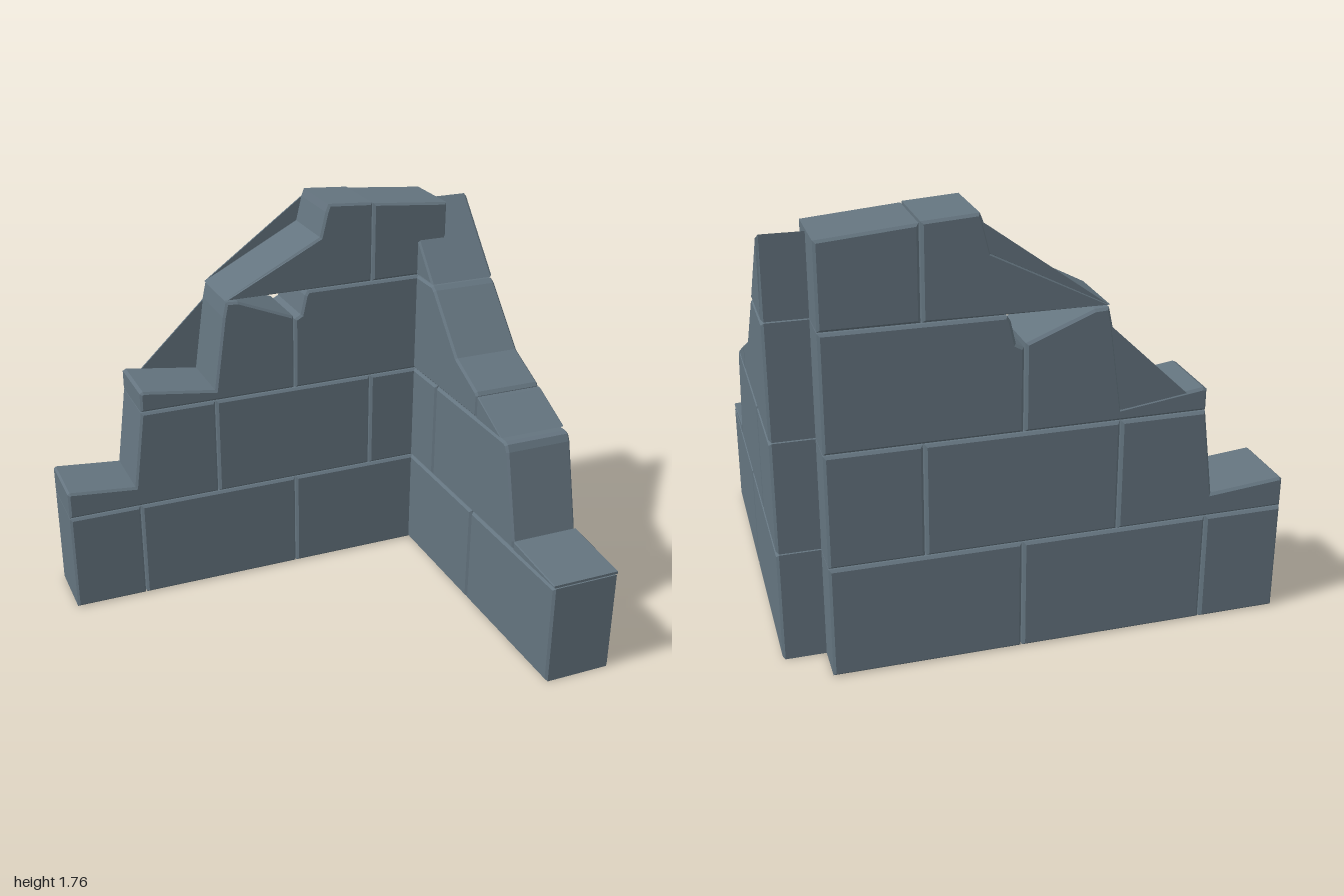
import * as THREE from 'three';

const stoneMaterial = new THREE.MeshStandardMaterial({ color: 0x64747f, side: THREE.DoubleSide });
stoneMaterial.name = 'slate stone';

// Bevelled stone: a profile in the wall's plane, extruded through its thickness
function stone(name, points, thickness, bevel) {
  const shape = new THREE.Shape(points.map(([u, y]) => new THREE.Vector2(u, y)));
  const geometry = new THREE.ExtrudeGeometry(shape, {
    depth: thickness - 2 * bevel,
    bevelEnabled: true, bevelSegments: 1,
    bevelSize: bevel, bevelThickness: bevel, bevelOffset: -bevel,
  });
  geometry.translate(0, 0, bevel);
  const mesh = new THREE.Mesh(geometry, stoneMaterial);
  mesh.name = name;
  return mesh;
}

const block = (u0, u1, y0, y1) => [[u0, y0], [u1, y0], [u1, y1], [u0, y1]];

// Heights of the four courses
const R1 = [0, 0.458], R2 = [0.463, 0.918], R3 = [0.923, 1.381], R4 = [1.386, 1.76];

export function createModel() {
  const model = new THREE.Group();
  model.name = 'ruinedCornerWall';

  // Back wall, profiles in x and y
  const backWall = new THREE.Group();
  backWall.name = 'backWall';
  const backStones = {
    backCourse1End: block(-1, -0.676, ...R1),
    backCourse1Middle: block(-0.67, 0.08, ...R1),
    backCourse1Corner: block(0.086, 0.83, ...R1),
    backCourse2BrokenEnd: [[-1, R2[0]], [-0.302, R2[0]], [-0.302, R2[1]], [-0.645, R2[1]],
      [-0.692, 0.56], [-0.99, 0.588], [-1, 0.58]],
    backCourse2Middle: block(-0.296, 0.46, ...R2),
    backCourse2Corner: block(0.466, 0.83, ...R2),
    backCourse3BrokenEnd: [[-0.645, R3[0]], [0.08, R3[0]], [0.08, 1.27], [-0.18, 1.375],
      [-0.235, 1.378], [-0.25, 1.31], [-0.298, 0.972], [-0.63, 1.018], [-0.645, 1.01]],
    backCourse3Corner: [[0.086, R3[0]], [0.83, R3[0]], [0.83, R3[1]], [0.15, R3[1]],
      [0.137, 1.36], [0.117, 1.272], [0.086, 1.255]],
    backCourse4BrokenTop: [[-0.24, R4[0]], [0.46, R4[0]], [0.46, 1.75], [0.25, 1.765],
      [0.237, 1.73], [0.21, 1.62]],
    backCourse4Corner: [[0.466, R4[0]], [0.83, R4[0]], [0.83, 1.712], [0.466, 1.745]],
  };
  for (const [name, points] of Object.entries(backStones)) {
    backWall.add(stone(name, points, 0.305, 0.01));
  }

  // Thin slivers left standing along the rear face of the two broken stones
  const slivers = {
    course3RearSliver: [[-0.57, 0.995], [-0.29, 0.965], [-0.24, 1.31]],
    course4RearSliver: [[-0.23, 1.39], [0.22, 1.62], [0.245, 1.735]],
  };
  for (const [name, points] of Object.entries(slivers)) {
    const sliver = stone(name, points, 0.008, 0.001);
    sliver.position.z = 0.004;
    backWall.add(sliver);
  }
  backWall.position.z = -0.815;
  model.add(backWall);

  // Side wall, profiles in -z and y
  const sideWall = new THREE.Group();
  sideWall.name = 'sideWall';
  const sideStones = {
    sideCourse1Front: block(-0.813, -0.105, ...R1),
    sideCourse1Corner: block(-0.099, 0.65, ...R1),
    sideCourse2Corner: block(0.284, 0.65, ...R2),
    sideCourse2Broken: [[-0.475, R2[0]], [0.278, R2[0]], [0.278, R2[1]], [-0.345, R2[1]],
      [-0.365, 0.91], [-0.38, 0.88], [-0.475, 0.5]],
    sideCourse3Corner: [[-0.098, R3[0]], [0.65, R3[0]], [0.65, R3[1]], [0.36, R3[1]],
      [0.335, 1.365], [0.105, 1.125], [-0.085, 1.04], [-0.098, 1.025]],
    sideCourse4Corner: [[0.36, R4[0]], [0.65, R4[0]], [0.65, 1.703]],
  };
  for (const [name, points] of Object.entries(sideStones)) {
    sideWall.add(stone(name, points, 0.31, 0.01));
  }
  // Thin leftover wedges
  const wedges = {
    sideCourse2Wedge: [[-0.813, R2[0]], [-0.482, R2[0]], [-0.482, 0.505], [-0.813, 0.474]],
    sideCourse3Wedge: [[-0.32, R3[0]], [-0.104, R3[0]], [-0.104, 1.025], [-0.12, 1.02]],
  };
  for (const [name, points] of Object.entries(wedges)) {
    sideWall.add(stone(name, points, 0.31, 0.004));
  }
  sideWall.rotation.y = Math.PI / 2;
  sideWall.position.x = 0.69;
  model.add(sideWall);

  return model;
}
